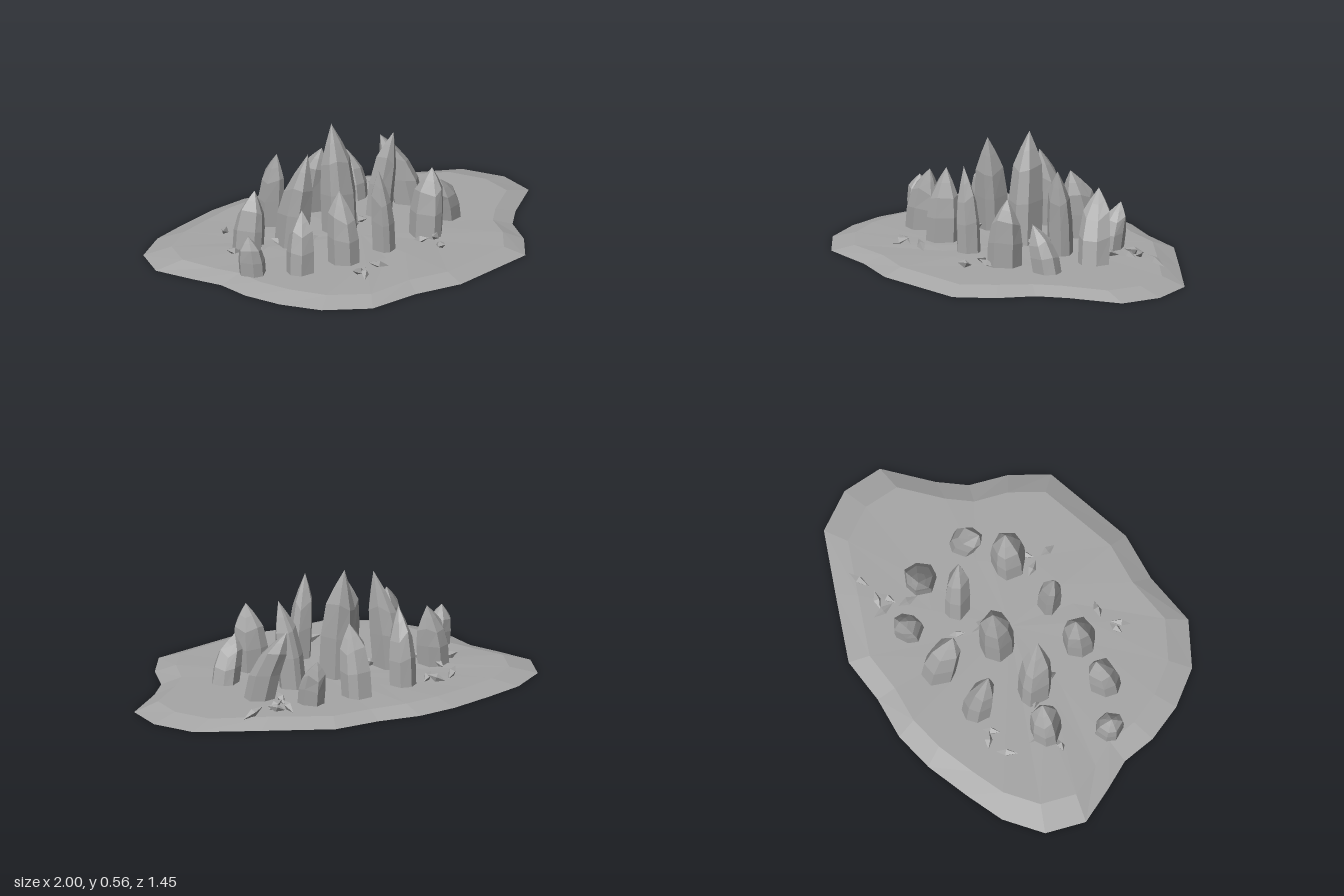
import * as THREE from 'three';

const stone = new THREE.MeshStandardMaterial({ color: 0xa6a6a6, flatShading: true });
stone.name = 'grey stone';

// Small seeded generator for facet irregularity, returns -1..1
let seed = 7;
const jitter = () => {
  seed = (seed * 16807) % 2147483647;
  return (seed / 2147483647) * 2 - 1;
};

// Skin a stack of rings (each a list of [x,y,z]) and close it with two apex points
function loft(rings, bottom, top) {
  const n = rings[0].length;
  const pos = [];
  const tri = (a, b, c) => pos.push(...a, ...b, ...c);
  for (let i = 0; i < n; i++) {
    const j = (i + 1) % n;
    for (let k = 0; k < rings.length - 1; k++) {
      const lo = rings[k], hi = rings[k + 1];
      tri(lo[i], hi[i], lo[j]);
      tri(hi[i], hi[j], lo[j]);
    }
    const last = rings[rings.length - 1];
    tri(last[i], top, last[j]);
    tri(rings[0][i], rings[0][j], bottom);
  }
  const geo = new THREE.BufferGeometry();
  geo.setAttribute('position', new THREE.Float32BufferAttribute(pos, 3));
  geo.computeVertexNormals();
  return geo;
}

// Ground slab: outer rim on the floor, bevelled up to a shallow plateau
const outline = [
  [-1, -0.24], [-0.94, -0.43], [-0.77, -0.56], [-0.58, -0.63], [-0.36, -0.70], [-0.16, -0.73],
  [0.05, -0.71], [0.28, -0.72], [0.60, -0.58], [0.89, -0.45], [1, -0.26], [1, -0.06],
  [0.80, 0.12], [0.70, 0.24], [0.64, 0.42], [0.53, 0.59], [0.08, 0.71], [-0.16, 0.69],
  [-0.43, 0.72], [-0.64, 0.60], [-0.76, 0.43], [-0.83, 0.25], [-0.85, 0.08], [-0.92, -0.06],
];
function makeGround() {
  const ring = (s, y, wobble) => outline.map(([x, z]) => [x * s, y + wobble * jitter(), z * s]);
  return loft([ring(1, 0, 0), ring(0.87, 0.033, 0.004), ring(0.45, 0.034, 0.003)], [0, 0, 0], [0, 0.032, 0]);
}

// Columns: base x, base z, radius, tip x, tip height, tip z
const columns = [
  [-0.26, -0.36, 0.068, -0.27, 0.40, -0.30],
  [0.00, -0.40, 0.080, 0.00, 0.36, -0.32],
  [0.24, -0.40, 0.066, 0.24, 0.25, -0.46],
  [0.42, -0.22, 0.078, 0.32, 0.36, -0.30],
  [0.21, -0.155, 0.062, 0.265, 0.45, -0.11],
  [-0.05, -0.10, 0.080, -0.07, 0.56, -0.14],
  [-0.33, -0.09, 0.078, -0.28, 0.49, -0.03],
  [-0.54, -0.15, 0.076, -0.50, 0.32, -0.15],
  [-0.68, 0.10, 0.066, -0.71, 0.22, 0.10],
  [-0.49, 0.21, 0.070, -0.46, 0.32, 0.18],
  [-0.25, 0.225, 0.076, -0.26, 0.38, 0.20],
  [-0.01, 0.21, 0.056, -0.05, 0.44, 0.22],
  [0.26, 0.17, 0.082, 0.29, 0.36, 0.17],
  [0.465, 0.05, 0.065, 0.39, 0.25, 0.09],
];
function makeColumn([bx, bz, r, tx, h, tz]) {
  const sides = 7;
  const spin = jitter() * Math.PI;
  const angles = [], radii = [], shoulders = [];
  for (let i = 0; i < sides; i++) {
    angles.push(spin + ((i + 0.25 * jitter()) / sides) * Math.PI * 2);
    radii.push(r * (1 + 0.08 * jitter()));
    shoulders.push(0.08 * jitter());
  }
  // t: share of the height, w: width there, rough: how uneven the ring is
  const profile = [[0, 1, 0], [0.38, 1, 0.4], [0.66, 0.84, 1], [0.83, 0.46, 0.5]];
  const rings = profile.map(([t, w, rough]) => angles.map((a, i) => {
    const u = t + rough * shoulders[i];
    const lean = u > 0 ? Math.pow(u, 1.6) : 0;
    return [
      bx + (tx - bx) * lean + Math.cos(a) * radii[i] * w,
      0.02 + (h - 0.02) * u,
      bz + (tz - bz) * lean + Math.sin(a) * radii[i] * w,
    ];
  }));
  return loft(rings, [bx, 0.02, bz], [tx, h, tz]);
}

// Fallen shards: x, z, heading in degrees from +x towards +z, length
const shards = [
  [-0.52, -0.365, -45, 0.11], [-0.42, -0.40, 35, 0.09], [-0.39, -0.365, -40, 0.09],
  [0.39, -0.45, 90, 0.11], [0.43, -0.40, -20, 0.10], [0.45, -0.445, 15, 0.09], [0.58, -0.46, -15, 0.13],
  [0.365, -0.33, 100, 0.10], [0.10, -0.23, -60, 0.08], [0.08, -0.12, 80, 0.10], [0.04, -0.10, -40, 0.08],
  [-0.53, -0.21, 80, 0.08], [-0.63, -0.135, 10, 0.08], [-0.50, -0.09, 25, 0.09],
  [-0.385, -0.115, 40, 0.08], [-0.25, -0.05, 20, 0.08], [-0.315, 0.015, 90, 0.08],
  [0.175, 0.245, 60, 0.08], [0.25, 0.255, -35, 0.09], [0.21, 0.355, 90, 0.08],
  [-0.29, 0.405, -10, 0.09], [-0.28, 0.44, -55, 0.10], [-0.165, 0.385, 15, 0.11],
];

export function createModel() {
  const model = new THREE.Group();
  model.name = 'crystalField';
  const add = (geo, name, parent) => {
    const mesh = new THREE.Mesh(geo, stone);
    mesh.name = name;
    parent.add(mesh);
    return mesh;
  };

  add(makeGround(), 'ground', model);

  const columnGroup = new THREE.Group();
  columnGroup.name = 'crystalColumns';
  columns.forEach((c) => add(makeColumn(c), 'crystalColumn', columnGroup));

  const shardGroup = new THREE.Group();
  shardGroup.name = 'crystalShards';
  shards.forEach(([x, z, heading, length], i) => {
    const geo = new THREE.OctahedronGeometry(1, 0);
    geo.scale(length / 2, 0.02, 0.02);
    geo.rotateX(0.4);
    geo.rotateZ((i % 2 ? 1 : -1) * 0.3);
    geo.rotateY(-THREE.MathUtils.degToRad(heading));
    add(geo, 'crystalShard', shardGroup).position.set(x, 0.05, z);
  });

  model.add(columnGroup, shardGroup);
  return model;
}
